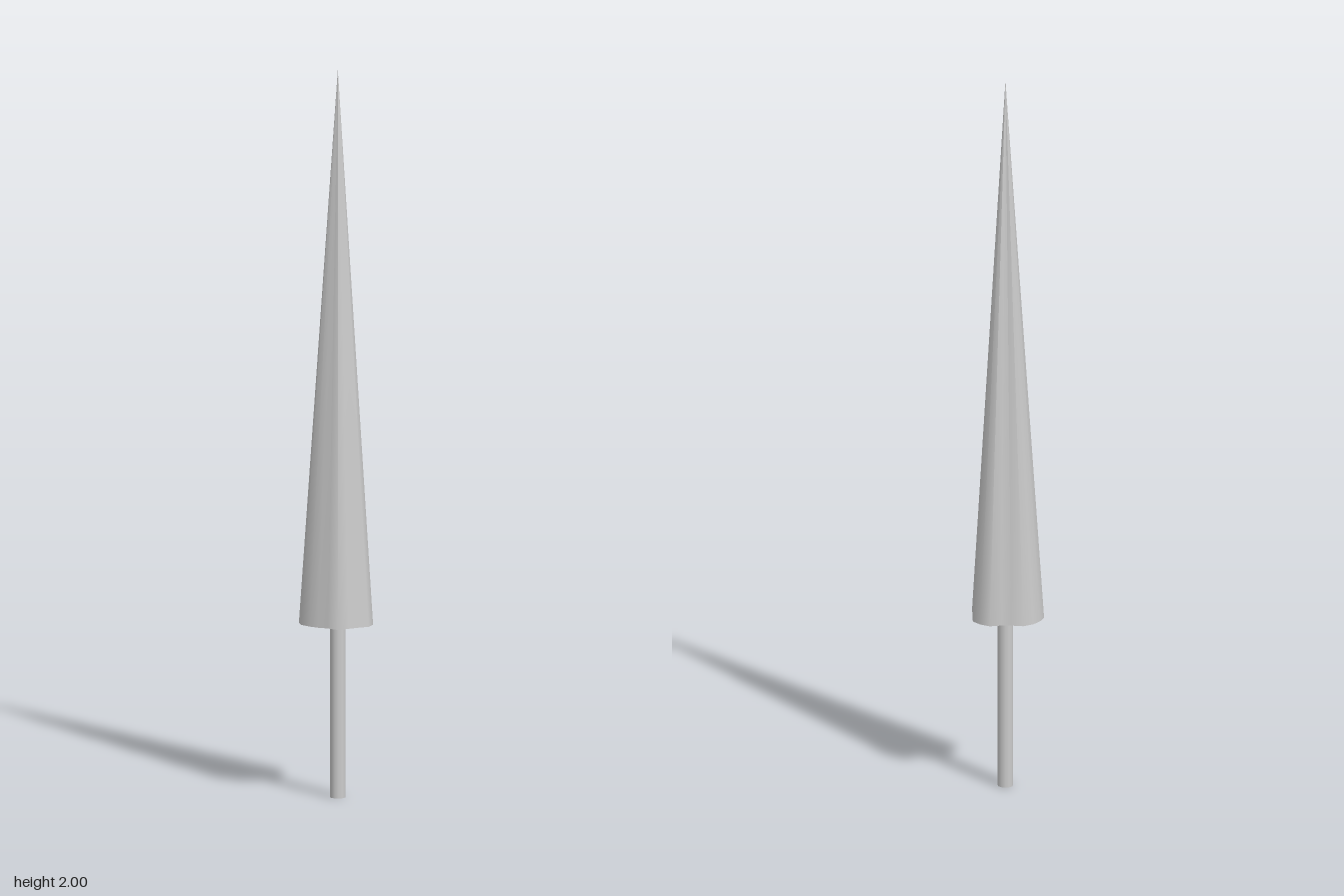
import * as THREE from 'three';
import { toCreasedNormals } from 'three/addons/utils/BufferGeometryUtils.js';

const TRUNK_TOP = 0.48, TIP = 2;

// Radius of the lobed foliage rim every 18 degrees, from +x towards +z
const RIM = [
  0.1, 0.091, 0.088, 0.1, 0.103, 0.092, 0.093, 0.105, 0.088, 0.091,
  0.096, 0.105, 0.105, 0.104, 0.104, 0.101, 0.084, 0.083, 0.099, 0.1,
];

// Unit cone whose rim is pushed in and out to form lobes
function lobedCone() {
  const n = RIM.length;
  const cone = new THREE.ConeGeometry(1, TIP - TRUNK_TOP, n, 1);
  const pos = cone.attributes.position;
  for (let i = 0; i < pos.count; i++) {
    const x = pos.getX(i), z = pos.getZ(i);
    const step = Math.round((Math.atan2(z, x) / (2 * Math.PI)) * n);
    const r = RIM[(step + n) % n];
    pos.setX(i, x * r);
    pos.setZ(i, z * r);
  }
  cone.translate(0, (TIP + TRUNK_TOP) / 2, 0);
  return toCreasedNormals(cone, Math.PI * 0.45);
}

export function createModel() {
  const group = new THREE.Group();
  group.name = 'coniferTree';
  const material = new THREE.MeshStandardMaterial({ color: 0xcccccc });

  // Tall tapering foliage
  const foliage = new THREE.Mesh(lobedCone(), material);
  foliage.name = 'foliage';

  // Thin straight trunk
  const trunk = new THREE.Mesh(new THREE.CylinderGeometry(0.021, 0.021, TRUNK_TOP, 12), material);
  trunk.position.y = TRUNK_TOP / 2;
  trunk.name = 'trunk';

  group.add(foliage, trunk);
  return group;
}
